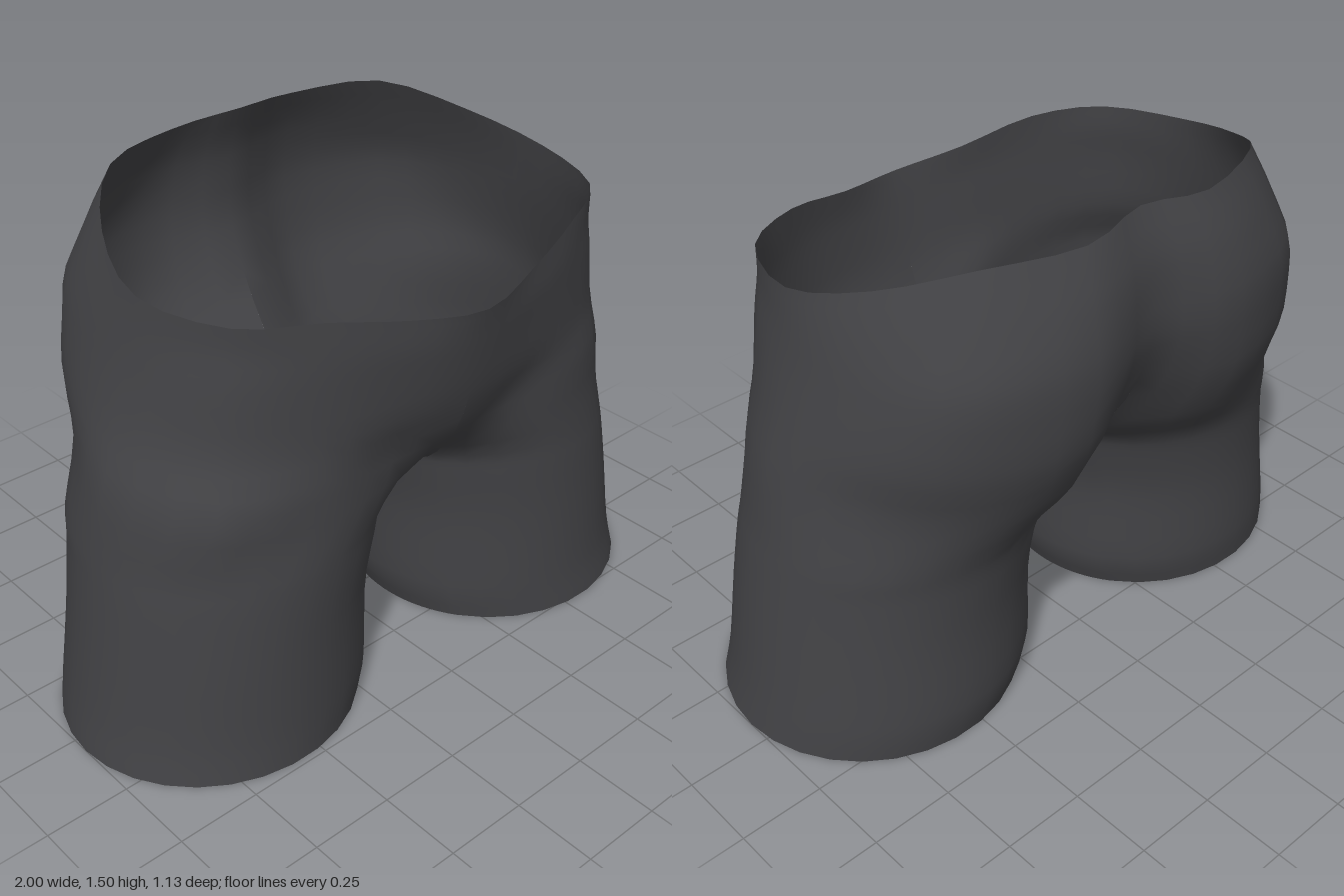
import * as THREE from 'three';
import { mergeVertices } from 'three/addons/utils/BufferGeometryUtils.js';

const SUB = 3;     // subdivisions between control points
const OUTER = 8;   // control spans from front centre round the hip to back centre
const INNER = 6;   // control spans along the crotch seam, back to front

// Leg rings: y, inner x, outer x, back z, front z
const LEFT_LEG = [
  [0, 0.12, 1.0, -0.365, 0.515],
  [0.12, 0.09, 0.978, -0.38, 0.5],
  [0.35, 0.088, 0.942, -0.37, 0.485],
  [0.53, 0.06, 0.912, -0.38, 0.477],
  [0.62, 0.035, 0.895, -0.397, 0.472],
];
const RIGHT_LEG = [
  [0, 0.12, 1.0, -0.37, 0.482],
  [0.12, 0.09, 0.978, -0.38, 0.478],
  [0.35, 0.095, 0.945, -0.37, 0.477],
  [0.53, 0.06, 0.922, -0.38, 0.48],
  [0.62, 0.035, 0.91, -0.397, 0.48],
];

// Hip rings where the legs join the torso, then the centre seam below them
const LEFT_HIP = [[0, 0.82, 0.465], [0.22, 0.82, 0.455], [0.46, 0.82, 0.47], [0.72, 0.82, 0.36], [0.862, 0.82, 0.07],
  [0.775, 0.82, -0.22], [0.57, 0.8, -0.425], [0.27, 0.79, -0.475], [0, 0.76, -0.31]];
const RIGHT_HIP = LEFT_HIP.with(3, [0.75, 0.82, 0.38]).with(4, [0.878, 0.82, 0.07]);
const CROTCH = [LEFT_HIP[8], [0, 0.7, -0.19], [0, 0.66, -0.05], [0, 0.65, 0.08], [0, 0.655, 0.22], [0, 0.7, 0.37], LEFT_HIP[0]];

// Torso half rings, front centre to back centre, up to the waist
const TORSO = [
  [[0, 0.98, 0.52], [0.24, 0.98, 0.498], [0.47, 0.98, 0.455], [0.7, 0.98, 0.335], [0.817, 0.98, 0.06],
    [0.765, 0.98, -0.25], [0.595, 0.98, -0.46], [0.28, 0.98, -0.55], [0, 0.98, -0.44]],
  [[0, 1.11, 0.545], [0.24, 1.12, 0.513], [0.47, 1.14, 0.455], [0.68, 1.15, 0.33], [0.772, 1.15, 0.06],
    [0.73, 1.16, -0.25], [0.585, 1.17, -0.468], [0.27, 1.17, -0.565], [0, 1.17, -0.495]],
  [[0, 1.18, 0.557], [0.23, 1.2, 0.52], [0.46, 1.23, 0.457], [0.66, 1.25, 0.33], [0.752, 1.25, 0.07],
    [0.7, 1.29, -0.21], [0.55, 1.33, -0.42], [0.26, 1.34, -0.53], [0, 1.34, -0.485]],
  [[0, 1.245, 0.57], [0.22, 1.27, 0.52], [0.45, 1.32, 0.455], [0.65, 1.33, 0.34], [0.737, 1.345, 0.08],
    [0.66, 1.41, -0.17], [0.49, 1.485, -0.37], [0.22, 1.487, -0.46], [0, 1.505, -0.425]],
];

const hermite = (a, b, ma, mb, t) => {
  const t2 = t * t, t3 = t2 * t;
  return a * (2 * t3 - 3 * t2 + 1) + ma * (t3 - 2 * t2 + t) + b * (3 * t2 - 2 * t3) + mb * (t3 - t2);
};

// Smooth half ring; neighbours past the centre line are mirrored
function sampleHalfRing(ring, u) {
  const at = (i) => {
    if (i >= 0 && i <= OUTER) return ring[i];
    const [x, y, z] = ring[i < 0 ? -i : 2 * OUTER - i];
    return [-x, y, z];
  };
  const i = Math.min(OUTER - 1, Math.floor(u));
  return [0, 1, 2].map((k) => {
    const [p, a, b, n] = [-1, 0, 1, 2].map((d) => at(i + d)[k]);
    return hermite(a, b, (b - p) / 2, (n - a) / 2, u - i);
  });
}

function sampleLegRing([y, x0, x1, z0, z1], u) {
  const deg = u <= OUTER ? 145 - 290 * u / OUTER : -145 - 70 * (u - OUTER) / INNER;
  const a = deg * Math.PI / 180;
  return [(x0 + x1) / 2 + Math.cos(a) * (x1 - x0) / 2, y, (z0 + z1) / 2 + Math.sin(a) * (z1 - z0) / 2];
}

// Column spline without overshoot, so the halves never cross the centre
function sampleColumn(points) {
  const last = points.length - 1;
  const slope = (i, k) => {
    const before = i > 0 ? points[i][k] - points[i - 1][k] : null;
    const after = i < last ? points[i + 1][k] - points[i][k] : null;
    if (before === null) return after;
    if (after === null) return before;
    return before * after <= 0 ? 0 : 2 * before * after / (before + after);
  };
  const out = [];
  for (let j = 0; j <= last * SUB; j++) {
    const i = Math.min(last - 1, Math.floor(j / SUB));
    out.push([0, 1, 2].map((k) =>
      hermite(points[i][k], points[i + 1][k], slope(i, k), slope(i + 1, k), j / SUB - i)));
  }
  return out;
}

// Triangle corners for one half of the body; side is 1 for left, -1 for right
function buildHalf(leg, hip, side) {
  const seam = new THREE.CatmullRomCurve3(CROTCH.map((p) => new THREE.Vector3(...p)));
  const columns = [];
  const total = (OUTER + INNER) * SUB;
  for (let c = 0; c < total; c++) {
    const u = c / SUB;
    const points = leg.map((ring) => sampleLegRing(ring, u));
    if (u <= OUTER) {
      [hip, ...TORSO].forEach((ring) => points.push(sampleHalfRing(ring, u)));
    } else {
      points.push(seam.getPoint((u - OUTER) / INNER).toArray());
    }
    columns.push(sampleColumn(points));
  }
  const positions = [];
  for (let c = 0; c < total; c++) {
    const near = columns[c], next = columns[(c + 1) % total];
    const rows = Math.min(near.length, next.length) - 1;
    for (let j = 0; j < rows; j++) {
      const a = near[j], b = next[j], d = next[j + 1], e = near[j + 1];
      const corners = side > 0 ? [a, b, d, a, d, e] : [a, d, b, a, e, d];
      for (const [x, y, z] of corners) positions.push(side * x, y, z);
    }
  }
  return positions;
}

// Both halves welded along the centre line
function buildShorts() {
  const positions = buildHalf(LEFT_LEG, LEFT_HIP, 1).concat(buildHalf(RIGHT_LEG, RIGHT_HIP, -1));
  const geometry = new THREE.BufferGeometry();
  geometry.setAttribute('position', new THREE.Float32BufferAttribute(positions, 3));
  const welded = mergeVertices(geometry, 1e-4);
  welded.computeVertexNormals();
  return welded;
}

export function createModel() {
  const group = new THREE.Group();
  group.name = 'shorts';
  const fabric = new THREE.MeshStandardMaterial({ color: 0x424245, side: THREE.DoubleSide });
  fabric.name = 'charcoal fabric';
  const shell = new THREE.Mesh(buildShorts(), fabric);
  shell.name = 'shortsShell';
  group.add(shell);
  return group;
}
